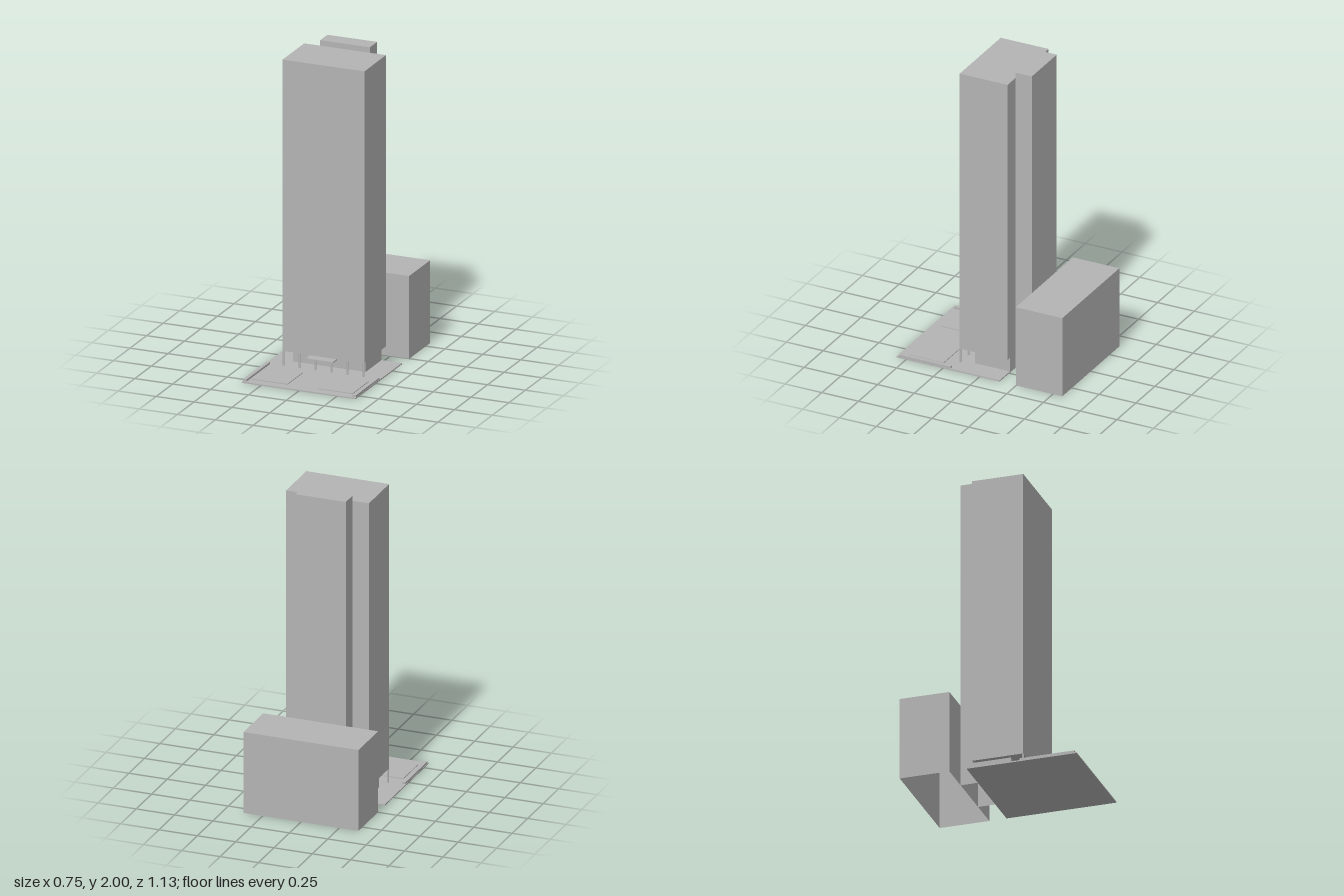
import * as THREE from 'three';

export function createModel() {
  const model = new THREE.Group();
  model.name = 'officeTower';
  const concrete = new THREE.MeshStandardMaterial({ color: 0xb4b4b4, side: THREE.DoubleSide });
  concrete.name = 'concreteGrey';

  // Box given by its extents; the underside can be left open
  function block(name, [x0, x1], [y0, y1], [z0, z1], openBottom = false) {
    const geo = new THREE.BoxGeometry(x1 - x0, y1 - y0, z1 - z0);
    if (openBottom) {
      const index = Array.from(geo.index.array);
      index.splice(18, 6); // fourth face is the underside
      geo.setIndex(index);
    }
    const mesh = new THREE.Mesh(geo, concrete);
    mesh.position.set((x0 + x1) / 2, (y0 + y1) / 2, (z0 + z1) / 2);
    mesh.name = name;
    model.add(mesh);
  }

  // Main masses
  block('tower', [-0.27, 0.27], [0.1, 1.965], [-0.137, 0.189]);
  block('serviceCore', [-0.164, 0.164], [0, 2], [-0.247, -0.137], true);
  block('rearBlock', [-0.375, 0.375], [0, 0.53], [-0.564, -0.247], true);

  // Plaza, recessed lobby and entrance canopy
  block('plaza', [-0.375, 0.375], [0, 0.008], [-0.137, 0.564]);
  block('lobby', [-0.24, 0.24], [0.008, 0.1], [-0.137, 0.1]);
  block('canopy', [-0.088, 0.088], [0.089, 0.097], [0.189, 0.25]);

  // Mirrored paving beds and low side walls
  for (const s of [-1, 1]) {
    const span = (a, b) => (s > 0 ? [a, b] : [-b, -a]);
    const side = s > 0 ? 'left' : 'right';
    block(side + 'PlazaBed', span(0.1, 0.33), [0.008, 0.013], [0.268, 0.505]);
    block(side + 'LowWall', span(0.349, 0.373), [0.008, 0.021], [0.2, 0.55]);
  }

  // Row of slender columns under the front edge of the tower
  const columnGeo = new THREE.CylinderGeometry(0.006, 0.006, 0.092, 16);
  for (let i = 0; i < 6; i++) {
    const column = new THREE.Mesh(columnGeo, concrete);
    column.position.set(-0.264 + i * 0.1056, 0.054, 0.187);
    column.name = 'column' + (i + 1);
    model.add(column);
  }
  return model;
}
